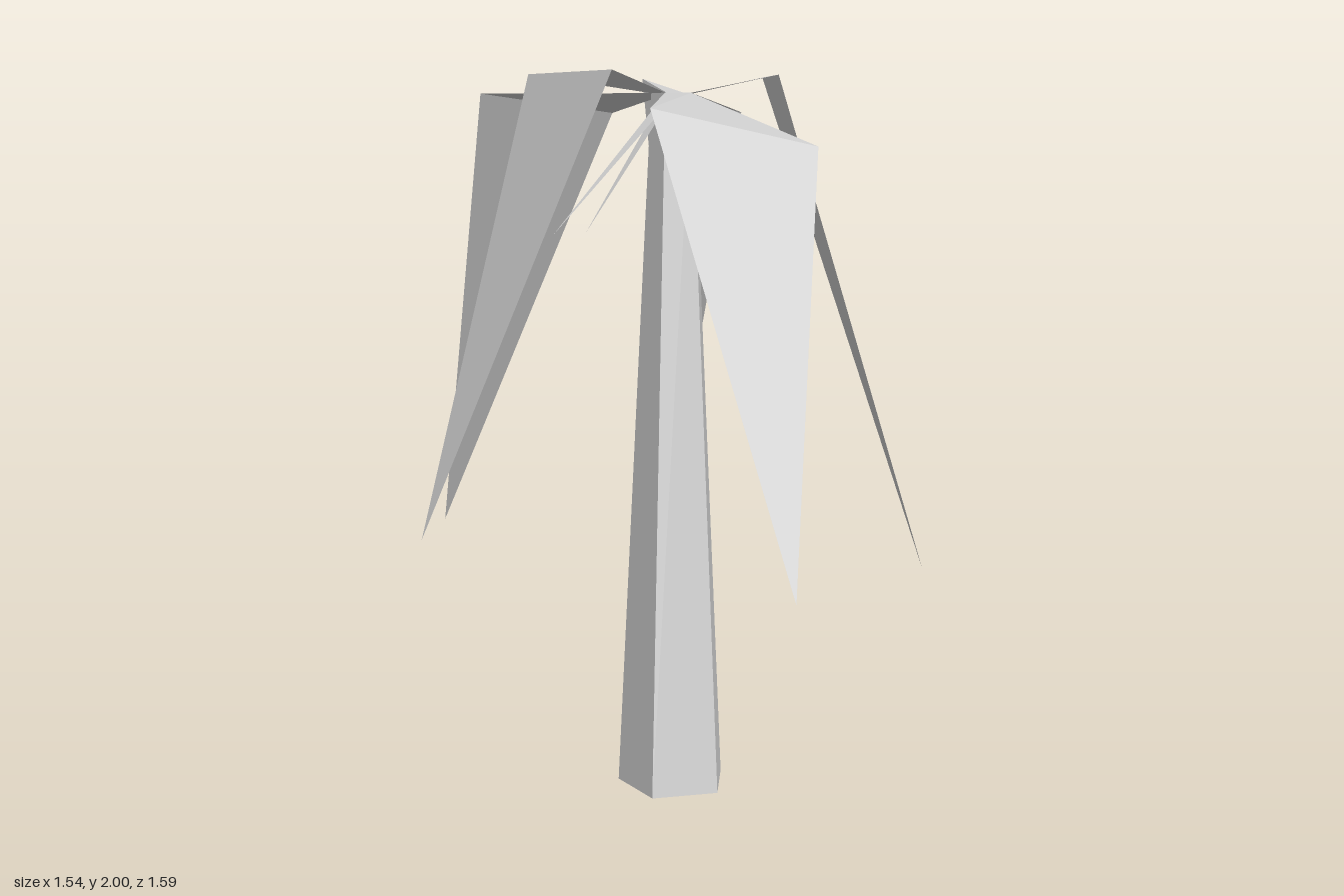
import * as THREE from 'three';

const HEIGHT = 1.95, SIDES = 5, TURN = -21 * Math.PI / 180;
const BASE = { x: 0.02, z: 0.25, r: 0.16 }, TOP = { x: 0.012, z: -0.047, r: 0.065 };

const trunkMaterial = new THREE.MeshStandardMaterial({ color: 0xcccccc, flatShading: true });
const leafMaterial = new THREE.MeshStandardMaterial({ color: 0xcccccc, flatShading: true, side: THREE.DoubleSide });

// Corner of the trunk's top ring
function crownPoint(i) {
  const a = TURN + (i / SIDES) * Math.PI * 2;
  return [TOP.x + TOP.r * Math.sin(a), HEIGHT, TOP.z + TOP.r * Math.cos(a)];
}

function triangles(name, list) {
  const geometry = new THREE.BufferGeometry();
  geometry.setAttribute('position', new THREE.Float32BufferAttribute(list.flat(), 3));
  geometry.computeVertexNormals();
  const mesh = new THREE.Mesh(geometry, leafMaterial);
  mesh.name = name;
  return mesh;
}

// Tapered trunk, sheared so that it leans back
function createTrunk() {
  const geometry = new THREE.CylinderGeometry(TOP.r, BASE.r, HEIGHT, SIDES, 1, false, TURN);
  geometry.translate(0, HEIGHT / 2, 0);
  const p = geometry.attributes.position;
  for (let i = 0; i < p.count; i++) {
    const t = p.getY(i) / HEIGHT;
    p.setX(i, p.getX(i) + THREE.MathUtils.lerp(BASE.x, TOP.x, t));
    p.setZ(i, p.getZ(i) + THREE.MathUtils.lerp(BASE.z, TOP.z, t));
  }
  geometry.computeVertexNormals();
  const mesh = new THREE.Mesh(geometry, trunkMaterial);
  mesh.name = 'trunk';
  return mesh;
}

// Each leaf: two shoulder corners and a drooping tip, rooted on one crown edge
const LEAVES = [
  { name: 'frontLeftLeaf', a: [-0.04, 1.9, 0.41], b: [0.41, 1.8, 0.27], tip: [0.34, 0.66, 0.79] },
  { name: 'leftLeaf', a: [0.31, 2, 0.01], b: [0.27, 2, -0.24], tip: [0.77, 0.52, -0.19] },
  { name: 'backLeaf', a: [0.21, 1.9, -0.345], b: [-0.09, 2, -0.345], tip: [0.01, 0.76, -0.8] },
  { name: 'backRightLeaf', a: [-0.19, 1.9, -0.495], b: [-0.55, 1.95, -0.09], tip: [-0.77, 0.56, -0.7], flip: true },
  { name: 'frontRightLeaf', a: [-0.395, 2, 0.06], b: [-0.14, 2, 0.41], tip: [-0.65, 0.76, 0.51] },
];

function createLeaf({ name, a, b, tip, flip }, i) {
  const r0 = crownPoint(i), r1 = crownPoint(i + 1);
  const root = flip ? [r0, a, b, r0, b, r1] : [r0, a, r1, a, b, r1];
  return triangles(name, [...root, a, tip, b]);
}

// Thin shoots hanging under the crown
const SHOOTS = [[-0.31, 1.56, 0.3], [-0.23, 1.56, 0.16], [0.34, 1.57, -0.05]];

function createShoot(tip) {
  const d = new THREE.Vector2(tip[0] - TOP.x, tip[2] - TOP.z).setLength(0.022);
  const side = (s) => [TOP.x + d.x - s * d.y, HEIGHT - 0.01, TOP.z + d.y + s * d.x];
  return triangles('shoot', [side(1), tip, side(-1)]);
}

export function createModel() {
  const model = new THREE.Group();
  model.name = 'palmTree';
  model.add(createTrunk(), ...LEAVES.map(createLeaf), ...SHOOTS.map(createShoot));
  return model;
}
